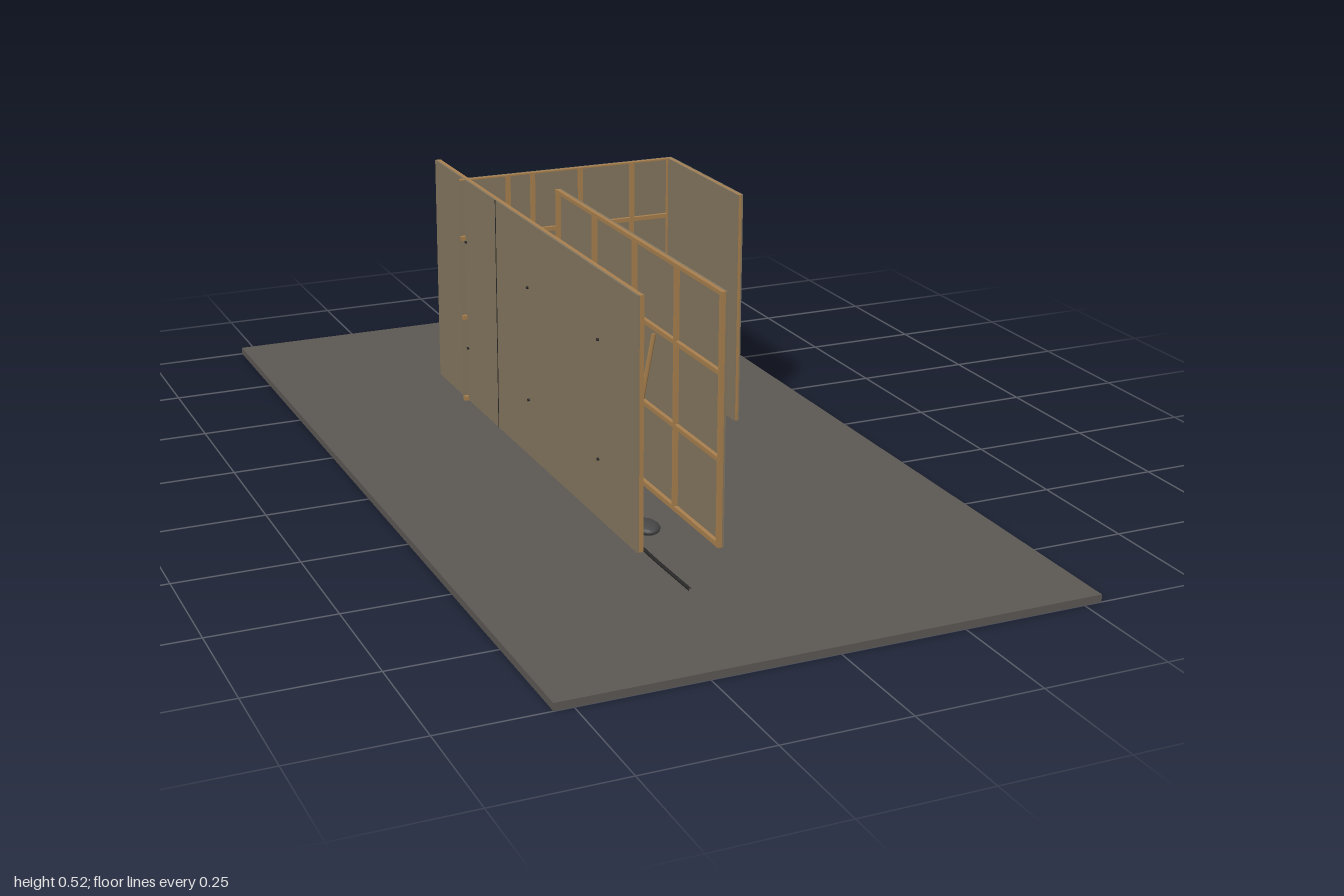
import * as THREE from 'three';

const mat = (name, color) => {
  const m = new THREE.MeshStandardMaterial({ color });
  m.name = name;
  return m;
};

export function createModel() {
  const root = new THREE.Group();
  root.name = 'stageSet';
  const panel = mat('taupe panel', 0x85775f);
  const wood = mat('pine timber', 0xa8804e);
  const floorGrey = mat('floor grey', 0x5c5854);
  const black = mat('black metal', 0x2a2a2a);
  const bagGrey = mat('sandbag grey', 0x474747);

  const FLOOR = 0.015, TOP = 0.525, H = TOP - FLOOR;

  // Box given by its min and max corners
  const box = (parent, name, material, [x0, y0, z0], [x1, y1, z1]) => {
    const m = new THREE.Mesh(new THREE.BoxGeometry(x1 - x0, y1 - y0, z1 - z0), material);
    m.position.set((x0 + x1) / 2, (y0 + y1) / 2, (z0 + z1) / 2);
    m.name = name;
    parent.add(m);
    return m;
  };

  // Square or round bar between two points
  const bar = (parent, name, material, a, b, r, sides = 8) => {
    const p = new THREE.Vector3(...a), q = new THREE.Vector3(...b);
    const m = new THREE.Mesh(new THREE.CylinderGeometry(r, r, p.distanceTo(q), sides), material);
    m.position.copy(p).add(q).multiplyScalar(0.5);
    m.quaternion.setFromUnitVectors(new THREE.Vector3(0, 1, 0), q.sub(p).normalize());
    m.name = name;
    parent.add(m);
    return m;
  };

  // Wall flat built along local x from 0 to len: skin on the -z side, timber frame on +z
  const SKIN = 0.004, DEPTH = 0.009;
  const flat = (name, len, stiles, rails, topRail = 0.008) => {
    const g = new THREE.Group();
    g.name = name;
    box(g, 'skin', panel, [0, FLOOR, -SKIN], [len, TOP, 0]);
    stiles.forEach((s) => box(g, 'stile', wood, [s - 0.0045, FLOOR, 0], [s + 0.0045, TOP, DEPTH]));
    rails.forEach((y) => box(g, 'rail', wood, [0, y - 0.0045, 0], [len, y + 0.0045, DEPTH - 0.0005]));
    box(g, 'topRail', wood, [0, TOP - topRail, 0], [len, TOP, DEPTH - 0.0005]);
    box(g, 'bottomRail', wood, [0, FLOOR, 0], [len, FLOOR + 0.01, DEPTH - 0.0005]);
    root.add(g);
    return g;
  };

  box(root, 'floor', floorGrey, [-0.537, 0, -1], [0.537, FLOOR, 1]);

  // Back wall, framed on its front
  const back = flat('backWall', 0.509,
    [0.018, 0.112, 0.17, 0.284, 0.409, 0.5], [0.21, 0.392], 0.003);
  back.position.set(-0.173, 0, -0.443);

  // Long wall on the -x side, framed toward +x
  const long = flat('longWall', 1.125,
    [0.0045, 0.182, 0.385, 0.57, 0.755, 0.94, 1.12], [0.193, 0.365]);
  long.rotation.y = Math.PI / 2;
  long.position.set(-0.159, 0, 0.495);
  box(root, 'longWallSeam', black, [-0.1636, FLOOR, -0.247], [-0.1625, TOP, -0.244]);

  // Middle wall, framed toward -x
  const middle = flat('middleWall', 0.815,
    [0.0045, 0.205, 0.41, 0.61, 0.81], [0.193, 0.365]);
  middle.rotation.y = -Math.PI / 2;
  middle.position.set(-0.004, 0, -0.28);
  for (const z of [0.34, -0.077])
    box(root, 'middleWallSeam', black, [-0.0005, FLOOR, z - 0.0015], [0.0006, TOP, z + 0.0015]);
  box(root, 'wallBar', black, [0, 0.291, 0.012], [0.005, 0.297, 0.088]);

  // Side wall with a skin on both faces
  const side = new THREE.Group();
  side.name = 'sideWall';
  box(side, 'core', wood, [0.327, FLOOR, -0.439], [0.333, TOP, -0.08]);
  box(side, 'innerSkin', panel, [0.324, FLOOR, -0.439], [0.327, TOP, -0.081]);
  box(side, 'outerSkin', panel, [0.333, FLOOR, -0.447], [0.337, TOP, -0.081]);
  root.add(side);

  // Leaning braces, each with a sandbag and two wall bolts
  for (const i of [0, 1, 2]) {
    const z = -0.37 + 0.38 * i;
    bar(root, 'brace', wood, [-0.149, 0.065, z], [-0.083, 0.41, z], 0.005, 4);
    const bag = new THREE.Mesh(new THREE.SphereGeometry(1, 16, 10), bagGrey);
    bag.scale.set(0.027, 0.012, 0.036);
    bag.position.set(-0.107, FLOOR + 0.012, z + 0.02);
    bag.name = 'sandbag';
    root.add(bag);
    const boltZ = -0.43 + 0.37 * i;
    for (const y of [0.14, 0.385]) {
      box(root, 'boltPlate', black, [-0.15, y - 0.008, boltZ - 0.005], [-0.145, y + 0.008, boltZ + 0.005]);
      bar(root, 'bolt', black, [-0.167, y, boltZ], [-0.139, y, boltZ], 0.003);
    }
  }

  // Dark frame leaning behind the middle wall
  const leaning = new THREE.Group();
  leaning.name = 'leaningFrame';
  for (const z of [0.032, 0.086]) {
    bar(leaning, 'leg', black, [-0.014, FLOOR, z], [-0.044, 0.34, z], 0.0025);
    for (const y of [0.065, 0.155])
      bar(leaning, 'strut', black, [-0.025, y, z], [-0.01, y, z], 0.0015);
  }
  bar(leaning, 'topBar', black, [-0.044, 0.34, 0.032], [-0.044, 0.34, 0.086], 0.0025);
  root.add(leaning);

  // Cable on the floor, along the long wall and round the corner
  const path = new THREE.CatmullRomCurve3([
    [-0.143, 0.69], [-0.146, 0.52], [-0.143, 0.3], [-0.147, 0.1], [-0.142, -0.1], [-0.146, -0.27],
    [-0.138, -0.37], [-0.105, -0.415], [-0.05, -0.43], [0.015, -0.432], [0.09, -0.42], [0.165, -0.41],
  ].map(([x, z]) => new THREE.Vector3(x, FLOOR + 0.002, z)));
  const cable = new THREE.Mesh(new THREE.TubeGeometry(path, 120, 0.0035, 6), black);
  cable.name = 'cable';
  root.add(cable);

  return root;
}
